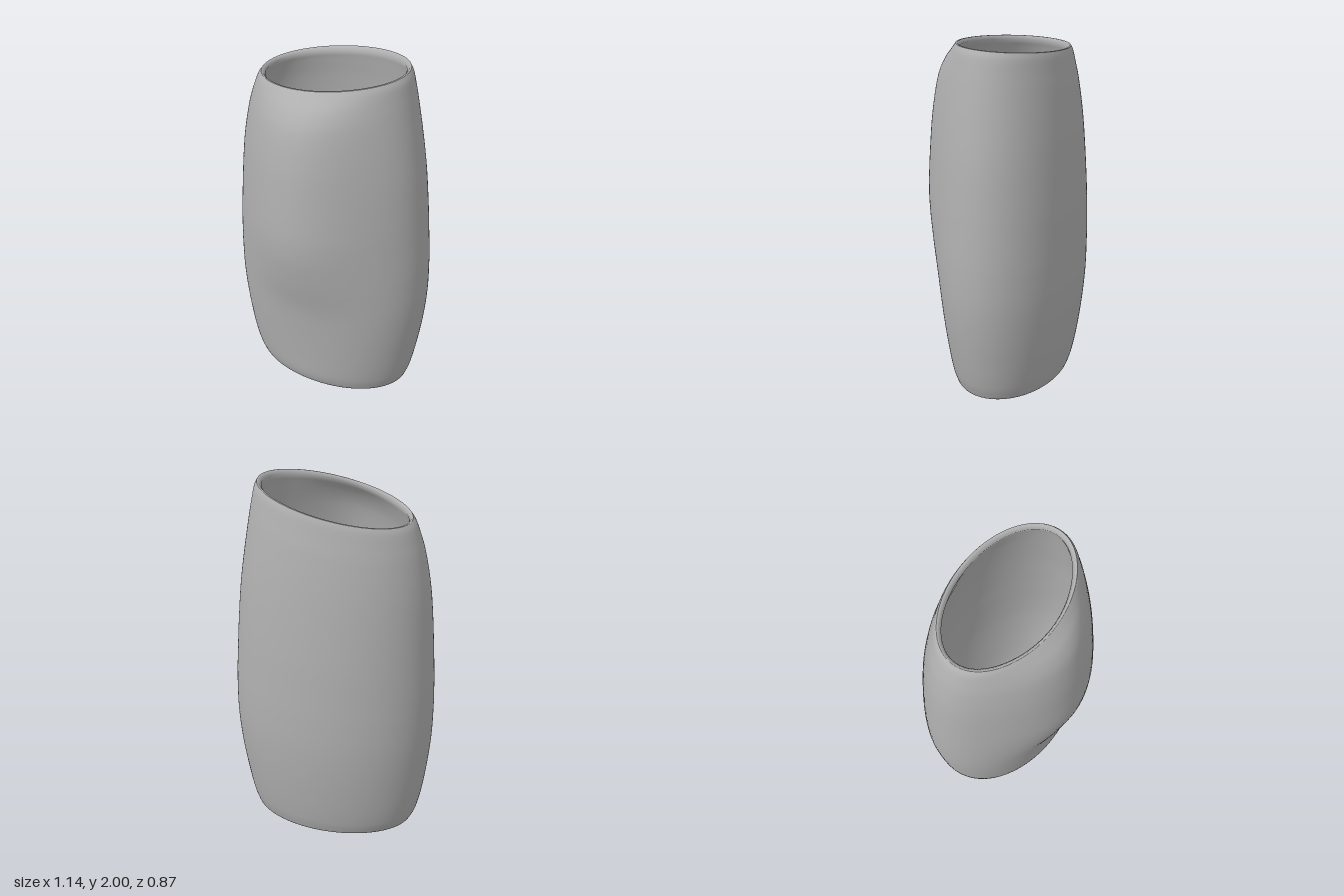
import * as THREE from 'three';

// Wall profile: [height fraction, half width -x, half width +x, depth to back, depth to front]
const PROFILE = [
  [0, .465, .462, .345, .262],
  [.01, .475, .470, .352, .272],
  [.035, .495, .487, .366, .285],
  [.1, .523, .515, .389, .300],
  [.2, .550, .548, .414, .324],
  [.3, .568, .567, .429, .353],
  [.4, .573, .568, .432, .398],
  [.46, .572, .563, .430, .420],
  [.5, .570, .558, .428, .432],
  [.57, .564, .549, .424, .440],
  [.7, .550, .527, .408, .428],
  [.8, .532, .500, .391, .411],
  [.9, .498, .468, .366, .375],
  [.95, .470, .450, .348, .330],
  [.985, .445, .435, .335, .275],
  [1, .425, .420, .325, .250],
];

// Smooth (Hermite) interpolation of one profile column
function sample(v, col) {
  const P = PROFILE, last = P.length - 1;
  let i = 0;
  while (i < last - 1 && v > P[i + 1][0]) i++;
  const slope = k => {
    const a = P[Math.max(k - 1, 0)], b = P[Math.min(k + 1, last)];
    return (b[col] - a[col]) / (b[0] - a[0]);
  };
  const h = P[i + 1][0] - P[i][0], t = (v - P[i][0]) / h, t2 = t * t, t3 = t2 * t;
  return (2 * t3 - 3 * t2 + 1) * P[i][col] + (t3 - 2 * t2 + t) * h * slope(i)
    + (3 * t2 - 2 * t3) * P[i + 1][col] + (t3 - t2) * h * slope(i + 1);
}

const CENTRE_Z = -0.04, WALL = 0.035;

// Oval section with a soft ridge at the front; the height shears to the slanted rim
function wallPoint(v, inset, angle) {
  const c = Math.cos(angle), s = Math.sin(angle);
  const halfWidth = sample(v, c < 0 ? 1 : 2) - inset;
  const back = sample(v, 3) + CENTRE_Z;
  const ridge = sample(v, 4) - CENTRE_Z - back;
  const z = CENTRE_Z + (back - inset) * s + (s > 0 ? ridge * Math.pow(s, 4.5) : 0);
  return [halfWidth * c, v * (1.925 + 0.075 * c), z];
}

function wallGeometry(rows = 64, sides = 128) {
  // Path up the outside, over the lip, down the inside and under the foot
  const path = [];
  for (let i = 0; i <= rows; i++) path.push([0.5 - 0.5 * Math.cos(Math.PI * i / rows), 0]);
  path.push([1, 0.009]);
  for (let i = 0; i <= rows; i++) path.push([0.99 - 0.98 * i / rows, WALL]);
  path.push([0, 0.022]);

  const positions = [], index = [], n = path.length;
  for (const [v, inset] of path) {
    for (let j = 0; j < sides; j++) positions.push(...wallPoint(v, inset, j / sides * Math.PI * 2));
  }
  for (let i = 0; i < n; i++) {
    for (let j = 0; j < sides; j++) {
      const i2 = (i + 1) % n, j2 = (j + 1) % sides;
      const a = i * sides + j, b = i2 * sides + j, c = i2 * sides + j2, d = i * sides + j2;
      index.push(a, b, c, a, c, d);
    }
  }
  const geometry = new THREE.BufferGeometry();
  geometry.setAttribute('position', new THREE.Float32BufferAttribute(positions, 3));
  geometry.setIndex(index);
  geometry.computeVertexNormals();
  return geometry;
}

export function createModel() {
  const group = new THREE.Group();
  group.name = 'slantedSleeve';
  const grey = new THREE.MeshStandardMaterial({ color: 0xb0b0b0 });
  grey.name = 'plain grey';
  const wall = new THREE.Mesh(wallGeometry(), grey);
  wall.name = 'sleeveWall';
  group.add(wall);
  return group;
}
